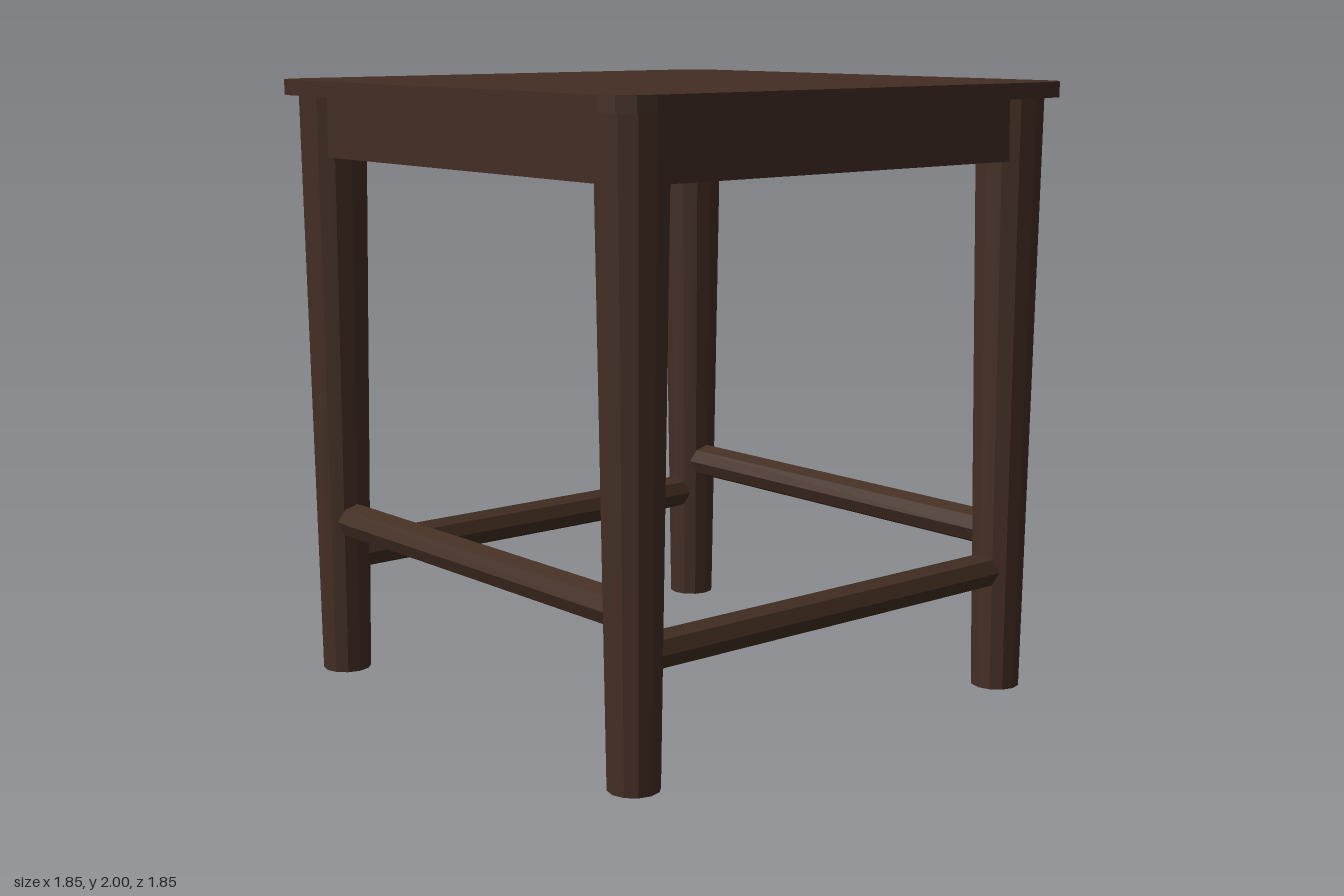
import * as THREE from 'three';

export function createModel() {
  const wood = new THREE.MeshStandardMaterial({ color: 0x442e25 });
  wood.name = 'dark brown wood';
  const railWood = new THREE.MeshStandardMaterial({ color: 0x432e22 });
  railWood.name = 'dark brown rail wood';

  const stool = new THREE.Group();
  stool.name = 'stool';
  const add = (name, geometry, material, x, y, z) => {
    // Unshared vertices give crisp facets
    const flat = geometry.index ? geometry.toNonIndexed() : geometry;
    flat.computeVertexNormals();
    const mesh = new THREE.Mesh(flat, material);
    mesh.name = name;
    mesh.position.set(x, y, z);
    stool.add(mesh);
    return mesh;
  };

  const legOffset = 0.78;
  const seatBottom = 1.95;

  // Seat: square slab with corners rounded in three facets
  const half = 0.925, radius = 0.115, inner = half - radius;
  const outline = [];
  [[1, 1], [-1, 1], [-1, -1], [1, -1]].forEach(([sx, sy], corner) => {
    for (let i = 0; i <= 3; i++) {
      const a = (corner + i / 3) * Math.PI / 2;
      outline.push(new THREE.Vector2(
        sx * inner + radius * Math.cos(a), sy * inner + radius * Math.sin(a)));
    }
  });
  const seat = new THREE.ExtrudeGeometry(new THREE.Shape(outline), { depth: 0.05, bevelEnabled: false });
  seat.rotateX(-Math.PI / 2);
  add('seat', seat, wood, 0, seatBottom, 0);

  // Four tapered twelve-sided legs
  for (const sx of [-1, 1]) {
    for (const sz of [-1, 1]) {
      add(`${sz > 0 ? 'front' : 'back'}${sx > 0 ? 'Left' : 'Right'}Leg`,
        new THREE.CylinderGeometry(0.11, 0.08, seatBottom, 12), wood,
        sx * legOffset, seatBottom / 2, sz * legOffset);
    }
  }

  // Aprons and stretchers run from leg centre to leg centre
  const span = 2 * legOffset;
  for (const s of [-1, 1]) {
    const frontBack = s > 0 ? 'front' : 'back';
    const side = s > 0 ? 'left' : 'right';

    add(`${frontBack}Apron`, new THREE.BoxGeometry(span, 0.2, 0.14), wood, 0, 1.85, s * legOffset);
    add(`${side}Apron`, new THREE.BoxGeometry(0.14, 0.2, span), wood, s * legOffset, 1.85, 0);

    add(`${frontBack}Stretcher`,
      new THREE.CylinderGeometry(0.06, 0.06, span, 8).rotateZ(Math.PI / 2), railWood,
      0, 0.4, s * legOffset);
    add(`${side}Stretcher`,
      new THREE.CylinderGeometry(0.06, 0.06, span, 8).rotateX(Math.PI / 2), railWood,
      s * legOffset, 0.525, 0);
  }

  return stool;
}
